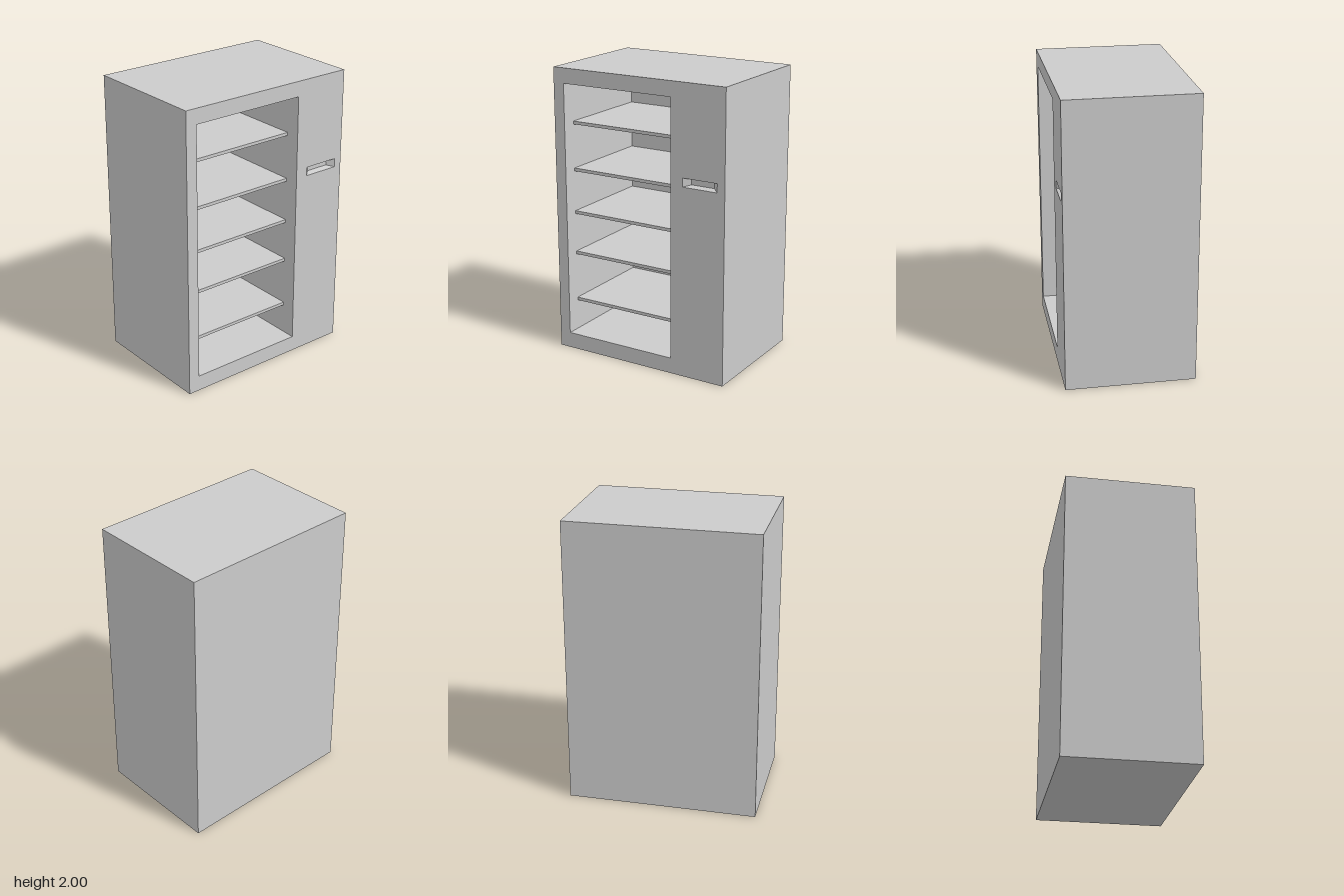
import * as THREE from 'three';

const W = 1.31, H = 2, D = 0.89, FRONT = D / 2;
const material = new THREE.MeshStandardMaterial({ color: 0xcccccc, flatShading: true });

// Corners of a rectangle, anticlockwise seen from the front
const corners = ({ x0, x1, y0, y1 }) => [[x0, y0], [x1, y0], [x1, y1], [x0, y1]];

function add(group, name, geometry, x = 0, y = 0, z = 0) {
  const mesh = new THREE.Mesh(geometry, material);
  mesh.name = name;
  mesh.position.set(x, y, z);
  group.add(mesh);
}

// Open-fronted recess running from a front rectangle to a back rectangle
function recess(front, back, zBack) {
  const a = corners(front).map(([x, y]) => [x, y, FRONT]);
  const b = corners(back).map(([x, y]) => [x, y, zBack]);
  const positions = [];
  const quad = (p, q, r, s) => positions.push(...p, ...q, ...r, ...p, ...r, ...s);
  for (let i = 0; i < 4; i++) {
    const j = (i + 1) % 4;
    quad(a[i], a[j], b[j], b[i]);
  }
  quad(...b);
  const geometry = new THREE.BufferGeometry();
  geometry.setAttribute('position', new THREE.Float32BufferAttribute(positions, 3));
  geometry.computeVertexNormals();
  return geometry;
}

export function createModel() {
  const model = new THREE.Group();
  model.name = 'vendingCabinet';

  const opening = { x0: -0.575, x1: 0.255, y0: 0.11, y1: 1.895 };
  const slot = { x0: 0.345, x1: 0.6, y0: 1.32, y1: 1.38 };
  const slotBack = { x0: 0.39, x1: 0.557, y0: 1.332, y1: 1.372 };
  const cavityBack = -0.37;

  // Outer shell: a box without its front face
  const shell = new THREE.BoxGeometry(W, H, D);
  const index = Array.from(shell.index.array);
  index.splice(24, 6);
  shell.setIndex(index);
  shell.clearGroups();
  add(model, 'cabinetShell', shell, 0, H / 2, 0);

  // Front face with the display opening and the slot cut out
  const face = new THREE.Shape(
    corners({ x0: -W / 2, x1: W / 2, y0: 0, y1: H }).map((p) => new THREE.Vector2(...p)));
  for (const hole of [opening, slot]) {
    face.holes.push(new THREE.Path(corners(hole).reverse().map((p) => new THREE.Vector2(...p))));
  }
  add(model, 'frontPanel', new THREE.ShapeGeometry(face), 0, 0, FRONT);

  // Display compartment and tapered slot
  add(model, 'displayCompartment', recess(opening, opening, cavityBack));
  add(model, 'paymentSlot', recess(slot, slotBack, FRONT - 0.04));

  // Shelves, set back from the front
  const shelfFront = FRONT - 0.1, shelfDepth = shelfFront - cavityBack;
  const shelfGeometry = new THREE.BoxGeometry(opening.x1 - opening.x0, 0.022, shelfDepth);
  for (const y of [0.334, 0.68, 0.975, 1.281, 1.61]) {
    add(model, 'shelf', shelfGeometry,
      (opening.x0 + opening.x1) / 2, y, cavityBack + shelfDepth / 2);
  }
  return model;
}
